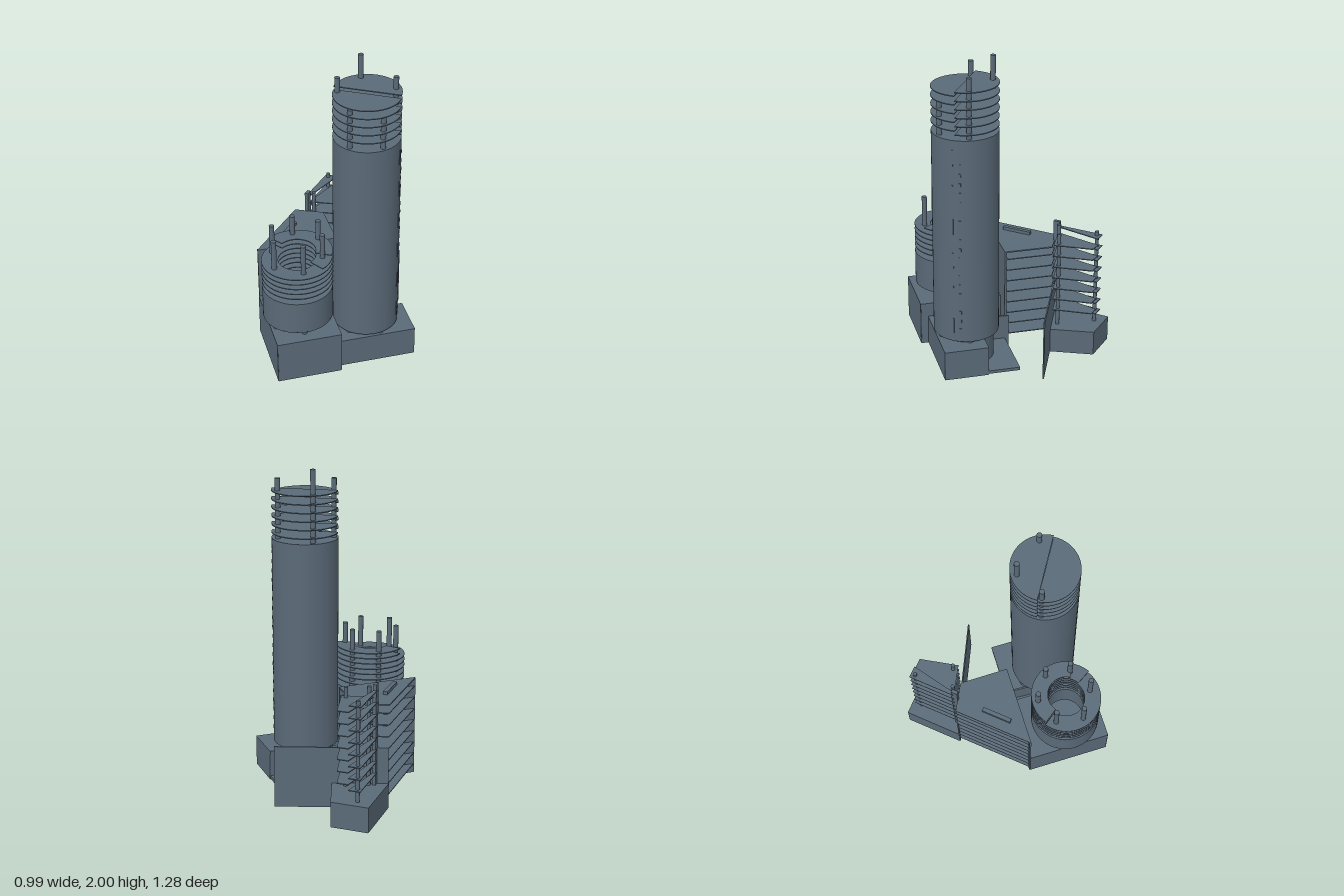
import * as THREE from 'three';

const slate = new THREE.MeshStandardMaterial({ color: 0x5a6a78, side: THREE.DoubleSide });
slate.name = 'slate';

export function createModel() {
  const model = new THREE.Group();
  model.name = 'towerComplex';

  const add = (geometry, name, x = 0, y = 0, z = 0) => {
    const mesh = new THREE.Mesh(geometry, slate);
    mesh.name = name;
    mesh.position.set(x, y, z);
    model.add(mesh);
    return mesh;
  };
  // Horizontal plate from a shape drawn in (x, -z)
  const plate = (shape, name, y0, y1, x = 0, z = 0) => {
    const g = new THREE.ExtrudeGeometry(shape, { depth: y1 - y0, bevelEnabled: false, curveSegments: 40 });
    g.rotateX(-Math.PI / 2);
    return add(g, name, x, y0, z);
  };
  const outline = pts => new THREE.Shape(pts.map(([x, z]) => new THREE.Vector2(x, -z)));
  const slab = (pts, name, y0, y1) => plate(outline(pts), name, y0, y1);
  // Upright wall between two plan points
  const wall = ([x0, z0], [x1, z1], name, y0, y1, t = 0.006) => {
    const dx = x1 - x0, dz = z1 - z0;
    const m = add(new THREE.BoxGeometry(Math.hypot(dx, dz), y1 - y0, t), name,
      (x0 + x1) / 2, (y0 + y1) / 2, (z0 + z1) / 2);
    m.rotation.y = -Math.atan2(dz, dx);
  };
  // Hollow block: roof and walls, open below
  const shell = (pts, name, y0, y1) => {
    slab(pts, name + 'Roof', y1 - 0.006, y1);
    pts.forEach((p, i) => wall(p, pts[(i + 1) % pts.length], name + 'Wall', y0, y1));
  };
  const column = (x, z, top, name, r = 0.016, bottom = 0) =>
    add(new THREE.CylinderGeometry(r, r, top - bottom, 16), name, x, (top + bottom) / 2, z);
  const sector = (r, a0, a1, inner = 0) => {
    const s = new THREE.Shape();
    s.absarc(0, 0, r, a0, a1, false);
    if (inner) s.absarc(0, 0, inner, a1, a0, true);
    s.closePath();
    return s;
  };

  // Podiums
  shell([[-0.49, 0.24], [-0.145, 0.635], [0.155, 0.37], [-0.19, -0.025]], 'frontPodium', 0.03, 0.31);
  shell([[0.49, 0.013], [0.13, 0.33], [-0.05, 0.13], [0.312, -0.19]], 'towerPodium', 0.03, 0.22);
  slab([[0.312, -0.19], [0.18, -0.342], [-0.185, -0.025], [-0.05, 0.13]], 'terrace', 0.035, 0.055);
  wall([-0.125, -0.11], [0.158, 0.25], 'podiumCrossWall', 0, 0.215, 0.01);

  // Main round tower
  const tx = 0.163, tz = 0.042, tr = 0.2025;
  add(new THREE.CylinderGeometry(tr, tr, 1.315, 64), 'towerBody', tx, 0.8975, tz);
  add(new THREE.CylinderGeometry(0.17, 0.17, 0.2, 48), 'towerLobby', tx, 0.14, tz);
  const tilt = 0.18;
  for (let i = 0; i < 6; i++) {
    const y = 1.846 - 0.0515 * i;
    plate(sector(tr, tilt, tilt + Math.PI), 'towerBackFloor', y - 0.003, y + 0.003, tx, tz);
  }
  for (let i = 0; i < 5; i++) {
    const y = 1.825 - 0.053 * i;
    plate(sector(tr, tilt + Math.PI, tilt + 2 * Math.PI), 'towerFrontFloor', y - 0.003, y + 0.003, tx, tz);
  }
  [[-0.005, 0.093, 1.92], [0.06, -0.088, 2], [0.135, 0.215, 1.805], [0.3, -0.056, 1.925], [0.31, 0.135, 1.77]]
    .forEach(([x, z, top]) => column(x, z, top, 'towerColumn', 0.016, 0.2));

  // Small window plates up the side of the tower
  const windowPlate = (angle, y, w, h) => {
    const m = add(new THREE.BoxGeometry(0.006, h, w), 'towerWindow',
      tx + Math.cos(angle) * tr, y, tz - Math.sin(angle) * tr);
    m.rotation.y = angle;
  };
  for (let i = 0; i < 20; i++) windowPlate(0.32, 0.32 + i * 0.06, 0.014, 0.02);
  for (let i = 0; i < 6; i++) windowPlate(0.1, 0.345 + i * 0.22, 0.008, 0.1);

  // Round ring building
  const dx = -0.16, dz = 0.337, dr = 0.217, di = 0.115;
  const ring = new THREE.Shape();
  ring.absarc(0, 0, dr, 0, Math.PI * 2, false);
  const hole = new THREE.Path();
  hole.absarc(0, 0, di, 0, Math.PI * 2, true);
  ring.holes.push(hole);
  for (const [r, name] of [[dr, 'ringOuterWall'], [di, 'ringInnerWall']])
    add(new THREE.CylinderGeometry(r, r, 0.215, 64, 1, true), name, dx, 0.4675, dz);
  for (const y of [0.36, 0.569, 0.611, 0.647, 0.683, 0.717, 0.752])
    plate(ring, 'ringFloor', y, y + 0.006, dx, dz);
  plate(sector(dr, -0.3, Math.PI - 0.2, di), 'ringUpperFloor', 0.786, 0.792, dx, dz);
  plate(sector(dr, 0.2, Math.PI - 0.2, di), 'ringTopFloor', 0.819, 0.825, dx, dz);
  [[-0.265, 0.193], [-0.1, 0.17], [-0.007, 0.295], [-0.055, 0.453], [-0.237, 0.485], [-0.327, 0.342]]
    .forEach(([x, z]) => column(x, z, 0.955, 'ringColumn'));

  // Wedge building with open floors
  const wedge = [[-0.49, 0.24], [-0.49, -0.27], [-0.31, -0.32], [-0.11, -0.095]];
  wall(wedge[0], wedge[3], 'wedgeFrontWall', 0.03, 0.665, 0.012);
  for (let i = 0; i < 8; i++) slab(wedge, 'wedgeFloor', 0.082 + i * 0.075, 0.088 + i * 0.075);
  slab(wedge, 'wedgeRoof', 0.657, 0.665);
  add(new THREE.BoxGeometry(0.026, 0.685, 0.19), 'wedgeShaft', -0.413, 0.3425, -0.023);

  // Long thin wall between the wedge and the rear block
  wall([-0.49, -0.27], [0.16, -0.49], 'dividingWall', 0, 0.39, 0.008);

  // Rear block with split-level floors
  shell([[-0.49, -0.64], [-0.26, -0.64], [-0.165, -0.36], [-0.49, -0.27]], 'rearBase', 0, 0.16);
  for (let i = 0; i < 8; i++) {
    const y = 0.235 + i * 0.075;
    slab([[-0.43, -0.61], [-0.355, -0.61], [-0.41, -0.315], [-0.43, -0.31]], 'rearLeftFloor', y - 0.003, y + 0.003);
    if (i < 7) slab([[-0.355, -0.61], [-0.285, -0.61], [-0.225, -0.37], [-0.41, -0.315]],
      'rearRightFloor', y + 0.032, y + 0.038);
  }
  add(new THREE.BoxGeometry(0.022, 0.8, 0.04), 'rearPier', -0.415, 0.4, -0.305);
  [[-0.385, -0.333], [-0.26, -0.39], [-0.405, -0.582]]
    .forEach(([x, z]) => column(x, z, 0.79, 'rearColumn', 0.012));

  return model;
}
